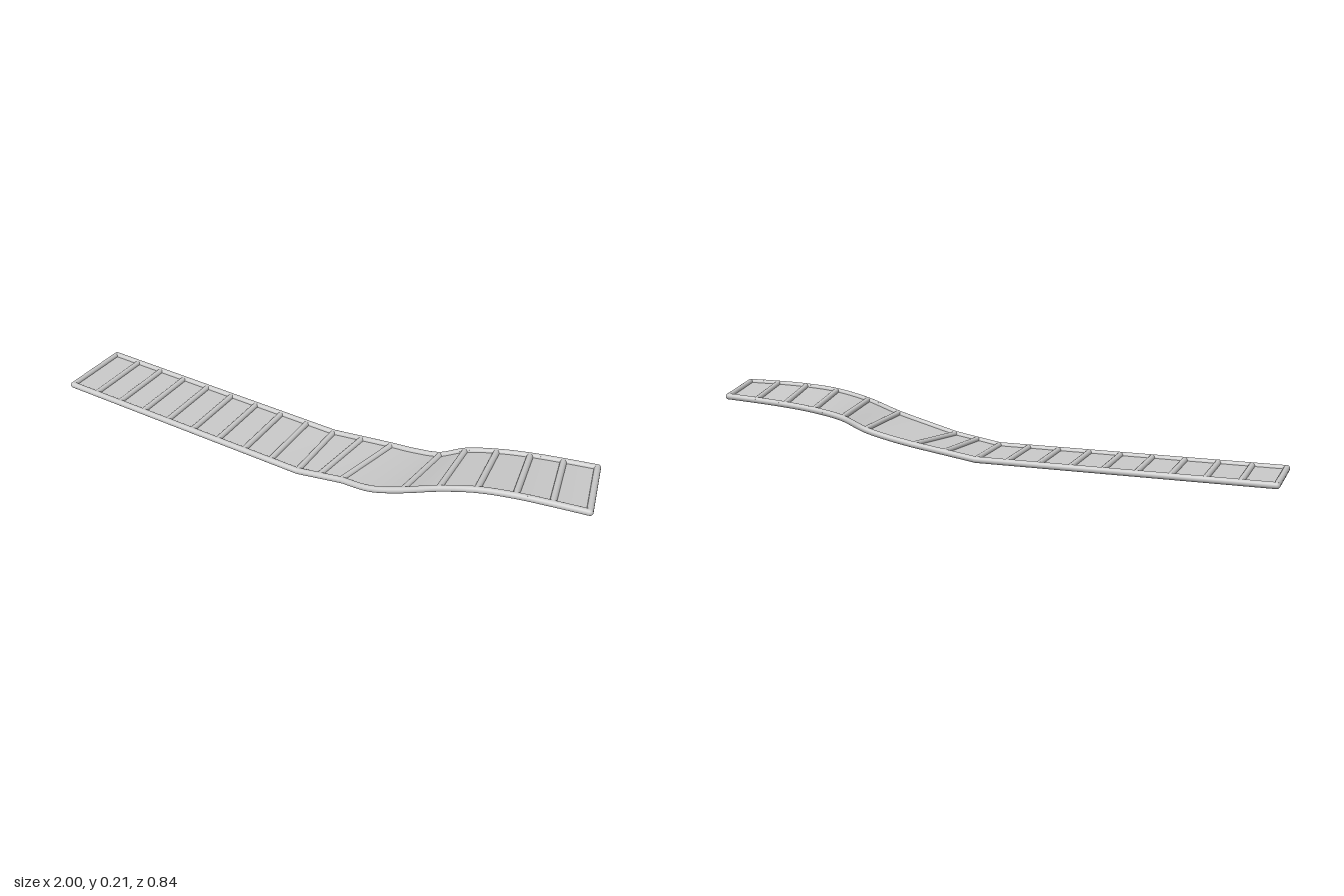
import * as THREE from 'three';

const R = 0.011; // tube radius
const STEPS = 6; // spline samples per curved bay

// Edge points of the curved run (x, y, z); the second one is a bend without a crossbar
const farCurve = [
  [0.205, 0.045, -0.16], [0.3, 0.061, -0.18], [0.39, 0.083, -0.203], [0.465, 0.122, -0.24], [0.56, 0.147, -0.285],
  [0.66, 0.163, -0.33], [0.76, 0.174, -0.372], [0.86, 0.183, -0.413],
];
const nearCurve = [
  [0.222, 0.04, 0.097], [0.345, 0.066, 0.083], [0.45, 0.1, 0.043], [0.56, 0.145, -0.004], [0.67, 0.176, -0.055],
  [0.78, 0.19, -0.105], [0.885, 0.196, -0.15], [0.988, 0.199, -0.195],
];

const vec = (p) => new THREE.Vector3(...p);

// Whole edge: flat run, straight ramp, then spline; flags mark crossbar stations
function edge(start, kink, curvePts) {
  const pts = [], bars = [];
  const a = vec(start), b = vec(kink), c = vec(curvePts[0]);
  for (let i = 0; i < 9; i++) { pts.push(a.clone().lerp(b, i / 9)); bars.push(true); }
  for (let i = 0; i < 2; i++) { pts.push(b.clone().lerp(c, i / 2)); bars.push(true); }
  const spline = new THREE.CatmullRomCurve3(curvePts.map(vec));
  const n = (curvePts.length - 1) * STEPS;
  for (let i = 0; i <= n; i++) {
    pts.push(spline.getPoint(i / n));
    bars.push(i % STEPS === 0 && i !== STEPS);
  }
  return { pts, bars };
}

function rod(a, b, radius, material) {
  const d = b.clone().sub(a);
  const mesh = new THREE.Mesh(new THREE.CylinderGeometry(radius, radius, d.length(), 16), material);
  mesh.position.copy(a).add(b).multiplyScalar(0.5);
  mesh.quaternion.setFromUnitVectors(new THREE.Vector3(0, 1, 0), d.normalize());
  return mesh;
}

// Side tube following an edge, made of short rods with ball joints
function rail(pts, material, name) {
  const group = new THREE.Group();
  group.name = name;
  pts.forEach((p, i) => {
    const joint = new THREE.Mesh(new THREE.SphereGeometry(R, 16, 10), material);
    joint.position.copy(p);
    joint.name = 'railJoint';
    group.add(joint);
    if (i > 0) {
      const tube = rod(pts[i - 1], p, R, material);
      tube.name = 'railTube';
      group.add(tube);
    }
  });
  return group;
}

// Thin deck stretched between the two edges
function deckGeometry(far, near) {
  const pos = [], index = [];
  far.forEach((f, i) => {
    pos.push(f.x, f.y, f.z, near[i].x, near[i].y, near[i].z);
    if (i > 0) {
      const k = 2 * (i - 1);
      index.push(k, k + 1, k + 2, k + 1, k + 3, k + 2);
    }
  });
  const g = new THREE.BufferGeometry();
  g.setAttribute('position', new THREE.Float32BufferAttribute(pos, 3));
  g.setIndex(index);
  g.computeVertexNormals();
  return g;
}

export function createModel() {
  const model = new THREE.Group();
  model.name = 'walkway';
  const material = new THREE.MeshStandardMaterial({ color: 0xcccccc });
  const deckMaterial = new THREE.MeshStandardMaterial({ color: 0xcccccc, side: THREE.DoubleSide });

  const far = edge([-0.988, R, 0.163], [-0.022, R, -0.1], farCurve);
  const near = edge([-0.918, R, 0.408], [0.058, R, 0.145], nearCurve);

  const deck = new THREE.Mesh(deckGeometry(far.pts, near.pts), deckMaterial);
  deck.name = 'deck';
  model.add(deck, rail(far.pts, material, 'backRail'), rail(near.pts, material, 'frontRail'));

  // Crossbars between the deck bays
  far.pts.forEach((p, i) => {
    if (!far.bars[i]) return;
    const bar = rod(p, near.pts[i], R, material);
    bar.name = 'crossbar';
    model.add(bar);
  });
  return model;
}
